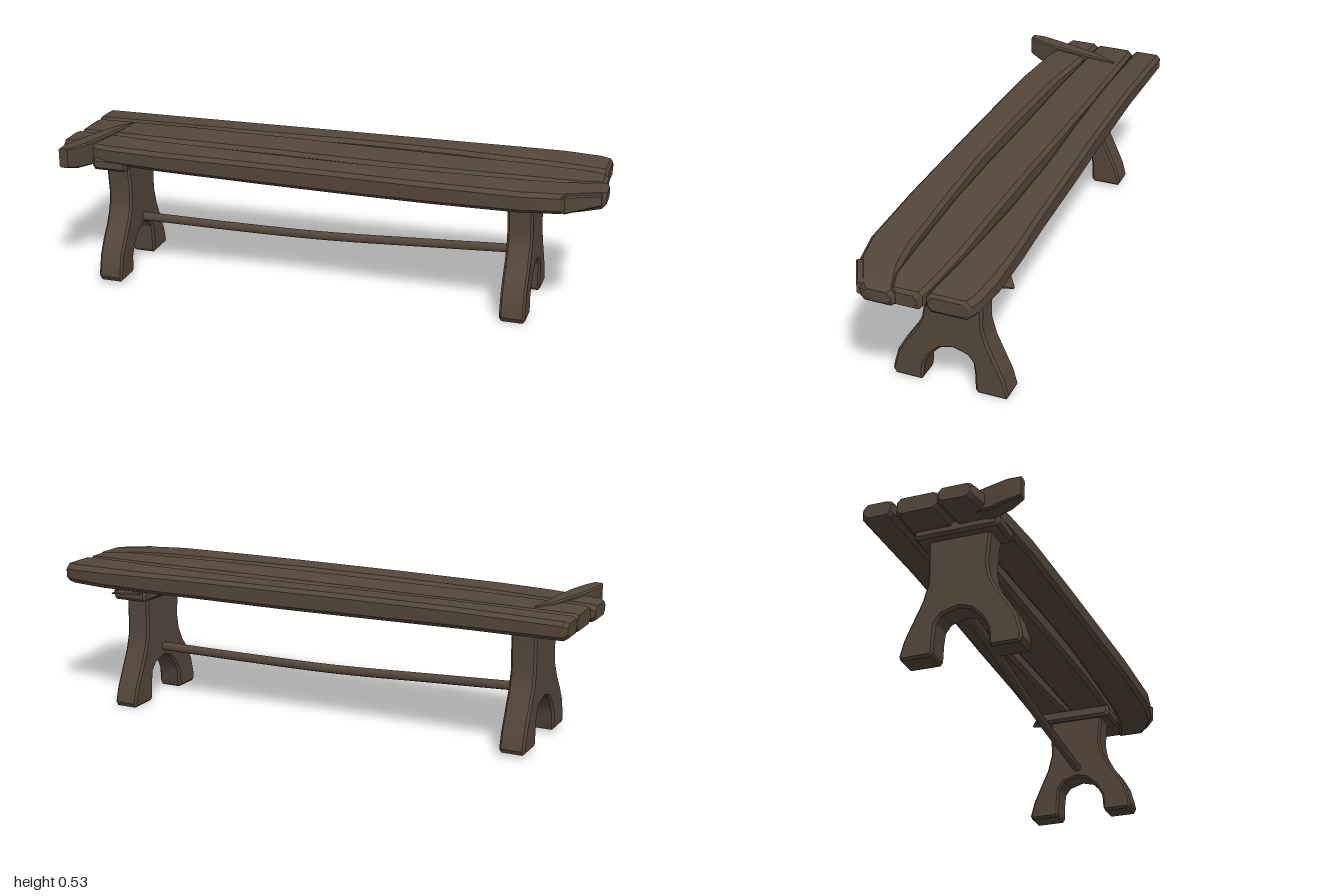
import * as THREE from 'three';
import { toCreasedNormals } from 'three/addons/utils/BufferGeometryUtils.js';

// Loft chamfered rectangles along x. Each section: [x, z0, z1, y0, y1, chamfer]
function loft(sections) {
  const pos = [], index = [], n = 8;
  for (const [x, z0, z1, y0, y1, c = 0.014] of sections) {
    const ring = [[y1, z1 - c], [y1 - c, z1], [y0 + c, z1], [y0, z1 - c],
      [y0, z0 + c], [y0 + c, z0], [y1 - c, z0], [y1, z0 + c]];
    for (const [y, z] of ring) pos.push(x, y, z);
  }
  const last = (sections.length - 1) * n;
  for (let i = 0; i < last; i += n) {
    for (let j = 0; j < n; j++) {
      const k = (j + 1) % n;
      index.push(i + j, i + k, i + n + k, i + j, i + n + k, i + n + j);
    }
  }
  for (let j = 1; j < n - 1; j++) {
    index.push(0, j + 1, j, last, last + j, last + j + 1);
  }
  const g = new THREE.BufferGeometry();
  g.setAttribute('position', new THREE.Float32BufferAttribute(pos, 3));
  g.setIndex(index);
  return toCreasedNormals(g, 0.6);
}

// Trestle outline as [z, y]: two splayed feet joined by an arch
const trestle = [
  [0.14, 0.018], [0.13, 0], [0.035, 0], [0.028, 0.015], [0.025, 0.065], [0.004, 0.105],
  [-0.035, 0.145], [-0.08, 0.157], [-0.135, 0.14], [-0.155, 0.113], [-0.16, 0.07],
  [-0.162, 0.012], [-0.17, 0], [-0.273, 0], [-0.28, 0.015], [-0.265, 0.07], [-0.24, 0.125],
  [-0.205, 0.2], [-0.187, 0.265], [-0.19, 0.42], [0.031, 0.42], [0.02, 0.305],
  [0.03, 0.25], [0.055, 0.2], [0.092, 0.15], [0.12, 0.1], [0.135, 0.045],
];

function trestleGeometry(lean) {
  const b = 0.008;
  const shape = new THREE.Shape(trestle.map(([z, y]) => new THREE.Vector2(-z, y)));
  const g = new THREE.ExtrudeGeometry(shape, {
    depth: 0.092 - 2 * b, bevelThickness: b, bevelSize: b, bevelOffset: -b, bevelSegments: 1,
  });
  g.rotateY(Math.PI / 2).translate(-0.038, 0, 0);
  // lean the board slightly along the bench
  const p = g.attributes.position;
  for (let i = 0; i < p.count; i++) p.setX(i, p.getX(i) + lean * (0.2 - p.getY(i)));
  return toCreasedNormals(g, 0.5);
}

export function createModel() {
  const bench = new THREE.Group();
  bench.name = 'bench';
  const wood = new THREE.MeshStandardMaterial({ color: 0x54463a });
  wood.name = 'dark wood';
  const add = (name, geometry) => {
    const m = new THREE.Mesh(geometry, wood);
    m.name = name;
    bench.add(m);
    return m;
  };

  // Three warped seat planks
  add('backPlank', loft([
    [-0.99, -0.23, -0.135, 0.46, 0.508], [-0.975, -0.24, -0.127, 0.45, 0.515],
    [-0.6, -0.235, -0.122, 0.447, 0.52], [-0.2, -0.242, -0.13, 0.443, 0.522],
    [0.05, -0.25, -0.14, 0.442, 0.522], [0.4, -0.26, -0.138, 0.444, 0.522],
    [0.6, -0.27, -0.128, 0.445, 0.521], [0.8, -0.275, -0.112, 0.445, 0.522, 0.018],
    [0.93, -0.265, -0.1, 0.448, 0.52, 0.018], [0.965, -0.252, -0.1, 0.45, 0.518, 0.018],
    [0.975, -0.24, -0.11, 0.462, 0.508],
  ]));
  add('middlePlank', loft([
    [-0.985, -0.115, 0.025, 0.455, 0.51], [-0.97, -0.122, 0.032, 0.448, 0.515],
    [-0.6, -0.125, 0.045, 0.447, 0.519], [-0.2, -0.12, 0.05, 0.443, 0.52],
    [0.1, -0.113, 0.058, 0.442, 0.52], [0.4, -0.11, 0.06, 0.443, 0.52],
    [0.7, -0.11, 0.05, 0.446, 0.519], [0.9, -0.1, 0.042, 0.449, 0.518],
    [0.97, -0.09, 0.02, 0.452, 0.515], [0.983, -0.075, 0.005, 0.462, 0.505],
  ]));
  add('frontPlank', loft([
    [-1, 0.035, 0.145, 0.462, 0.508], [-0.985, 0.03, 0.155, 0.452, 0.514],
    [-0.8, 0.045, 0.19, 0.447, 0.517], [-0.6, 0.066, 0.204, 0.445, 0.519],
    [-0.2, 0.08, 0.21, 0.442, 0.521], [0.1, 0.085, 0.213, 0.441, 0.521],
    [0.4, 0.075, 0.216, 0.442, 0.52], [0.72, 0.06, 0.21, 0.444, 0.519],
    [0.85, 0.042, 0.185, 0.445, 0.517], [0.93, 0.015, 0.145, 0.449, 0.515],
    [0.985, -0.005, 0.115, 0.453, 0.513], [0.997, 0.005, 0.1, 0.465, 0.505],
  ]));

  // Broken edge on the front plank
  add('brokenEdge', loft([
    [0.84, 0.15, 0.18, 0.455, 0.5, 0.005], [0.87, 0.13, 0.187, 0.45, 0.515, 0.005],
    [0.985, 0.08, 0.128, 0.47, 0.512, 0.005],
  ]));

  // Loose slat lying across one end: lofted, then turned to run along z
  add('looseSlat', loft([
    [-0.295, -0.945, -0.912, 0.46, 0.532, 0.004], [-0.25, -0.95, -0.89, 0.447, 0.531, 0.006],
    [-0.18, -0.934, -0.868, 0.44, 0.529, 0.006], [-0.08, -0.907, -0.85, 0.46, 0.527, 0.006],
    [0.02, -0.876, -0.836, 0.48, 0.524, 0.006], [0.09, -0.838, -0.826, 0.5, 0.52, 0.003],
  ]).rotateY(Math.PI / 2));

  // Thin splinter hanging below the back plank
  add('splinter', loft([
    [0.21, 0.64, 0.75, 0.43, 0.44, 0.003], [0.25, 0.65, 0.74, 0.431, 0.439, 0.003],
    [0.295, 0.725, 0.735, 0.437, 0.44, 0.001],
  ]).rotateY(Math.PI / 2));

  // Trestles and the bearers on top of them
  add('leftTrestle', trestleGeometry(0.02)).position.set(0.698, 0, 0);
  add('rightTrestle', trestleGeometry(-0.005)).position.set(-0.787, 0.012, 0.118);
  add('leftBearer', loft([
    [0.63, -0.225, 0.055, 0.41, 0.44, 0.008], [0.64, -0.235, 0.066, 0.4, 0.446, 0.01],
    [0.76, -0.235, 0.066, 0.4, 0.446, 0.01], [0.77, -0.225, 0.055, 0.41, 0.44, 0.008],
  ]));
  add('rightBearer', loft([
    [-0.87, -0.1, 0.18, 0.432, 0.462, 0.008], [-0.86, -0.11, 0.19, 0.423, 0.468, 0.01],
    [-0.745, -0.11, 0.19, 0.423, 0.468, 0.01], [-0.735, -0.1, 0.18, 0.432, 0.462, 0.008],
  ]));

  // Sagging rail between the trestles
  const path = new THREE.CatmullRomCurve3([
    [-0.77, 0.196, 0.035], [-0.4, 0.186, 0.01], [-0.05, 0.179, -0.02],
    [0.3, 0.185, -0.05], [0.68, 0.195, -0.08],
  ].map((p) => new THREE.Vector3(...p)));
  add('rail', new THREE.TubeGeometry(path, 16, 0.017, 8));

  return bench;
}
